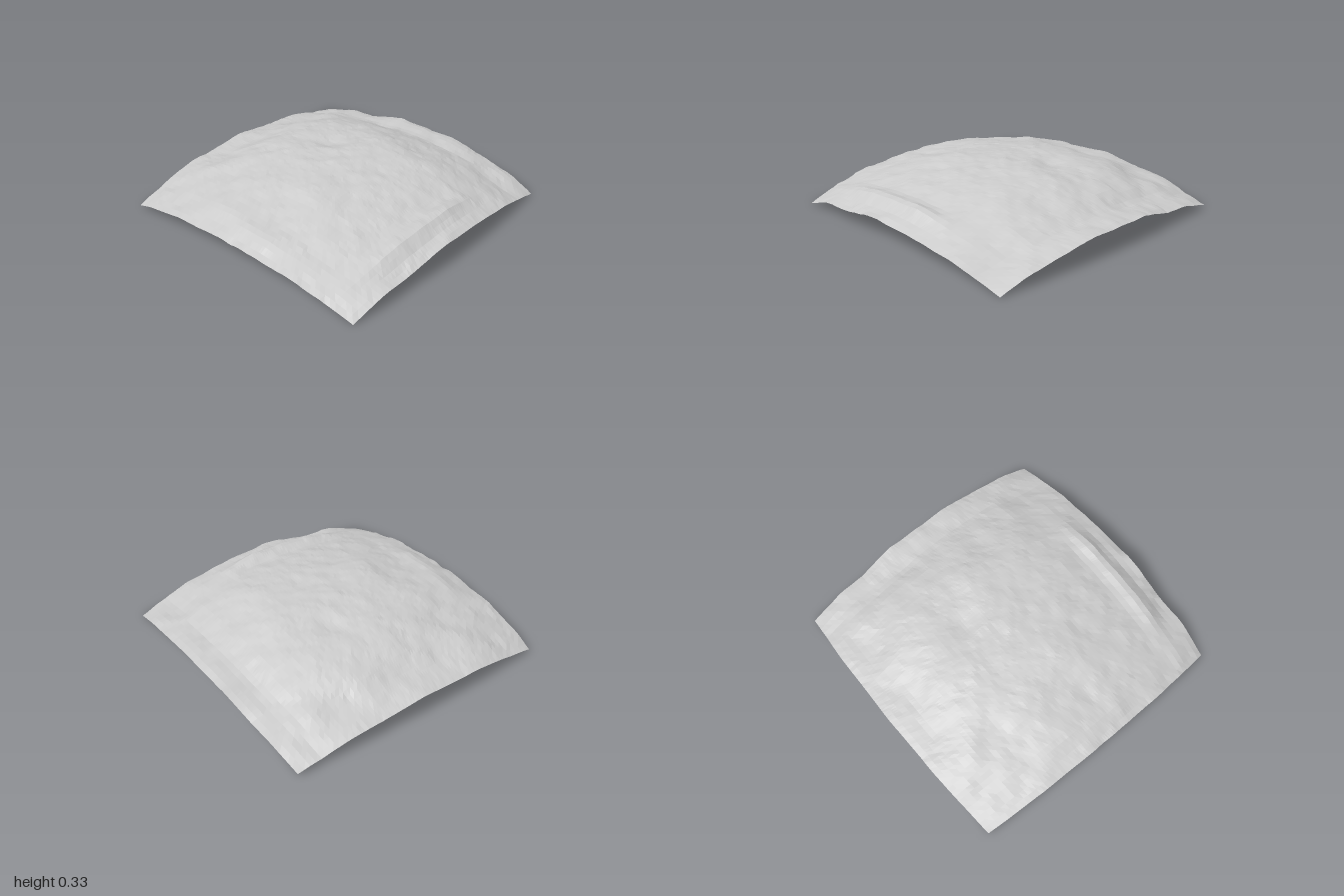
import * as THREE from 'three';

const CELLS = 72;         // grid cells per side
const RADIUS = 3.07;      // sphere the patch is cut from
const CENTRE_Y = -2.73;
const SPREAD = 0.342;     // tangent of the half angle of the patch

// Broad landforms: x, z, width in x, width in z, height
const LANDFORMS = [
  [-0.35, 0.80, 0.60, 0.07, 0.030],
  [0.08, 0.79, 0.18, 0.06, 0.022],
  [-0.16, 1.00, 0.12, 0.08, 0.020],
  [-0.84, 0.05, 0.09, 0.35, 0.025],
  [0.40, 0.20, 0.14, 0.30, 0.025],
  [-0.30, 0.10, 0.22, 0.20, 0.018],
  [0.45, -0.45, 0.15, 0.15, 0.015],
  [0.82, -0.20, 0.10, 0.60, -0.028],
  [0.15, -0.82, 0.60, 0.12, -0.025],
  [0.15, -0.22, 0.10, 0.08, -0.020],
  [0.75, 0.75, 0.15, 0.20, -0.015],
];

function hash(i, j) {
  let h = Math.imul(i, 374761393) + Math.imul(j, 668265263) + 1013;
  h = Math.imul(h ^ (h >>> 13), 1274126177);
  return ((h ^ (h >>> 16)) >>> 0) / 2147483648 - 1;
}

// Smooth value noise from -1 to 1
function noise(x, z) {
  const i = Math.floor(x), j = Math.floor(z);
  const ease = (t) => t * t * (3 - 2 * t);
  const u = ease(x - i), v = ease(z - j);
  const { lerp } = THREE.MathUtils;
  return lerp(lerp(hash(i, j), hash(i + 1, j), u), lerp(hash(i, j + 1), hash(i + 1, j + 1), u), v);
}

// Height above the sphere: landforms plus layered roughness
function relief(x, z) {
  let h = 0;
  for (const [cx, cz, wx, wz, height] of LANDFORMS) {
    h += height * Math.exp(-(((x - cx) / wx) ** 2) - ((z - cz) / wz) ** 2);
  }
  let frequency = 4, amplitude = 0.014;
  for (let octave = 0; octave < 4; octave++) {
    h += amplitude * noise(x * frequency + octave * 17.3, z * frequency + octave * 9.1);
    frequency *= 2.1;
    amplitude *= 0.5;
  }
  return h;
}

// Rows are closer together in the middle than at the rim
function gridPosition(i) {
  const s = (2 * i) / CELLS - 1;
  return s * (0.6 + 0.4 * s * s);
}

export function createModel() {
  const positions = [], indices = [];
  const row = CELLS + 1;
  const point = new THREE.Vector3();

  // Square patch projected onto the sphere and raised by the relief
  for (let j = 0; j <= CELLS; j++) {
    for (let i = 0; i <= CELLS; i++) {
      const u = gridPosition(i), v = gridPosition(j);
      point.set(u * SPREAD, 1, v * SPREAD).normalize().multiplyScalar(RADIUS + relief(u, v));
      positions.push(point.x, point.y + CENTRE_Y, point.z);
      if (i < CELLS && j < CELLS) {
        const a = j * row + i;
        indices.push(a, a + row, a + 1, a + 1, a + row, a + row + 1);
      }
    }
  }

  const geometry = new THREE.BufferGeometry();
  geometry.setAttribute('position', new THREE.Float32BufferAttribute(positions, 3));
  geometry.setIndex(indices);
  geometry.computeBoundingBox();
  geometry.translate(0, -geometry.boundingBox.min.y, 0); // lowest corner on the floor
  geometry.computeVertexNormals();

  // Open sheet, seen from above and below
  const terrain = new THREE.Mesh(geometry, new THREE.MeshStandardMaterial({
    color: 0xcccccc, flatShading: true, side: THREE.DoubleSide,
  }));
  terrain.name = 'terrainPatch';

  const group = new THREE.Group();
  group.name = 'curvedTerrain';
  group.add(terrain);
  return group;
}
